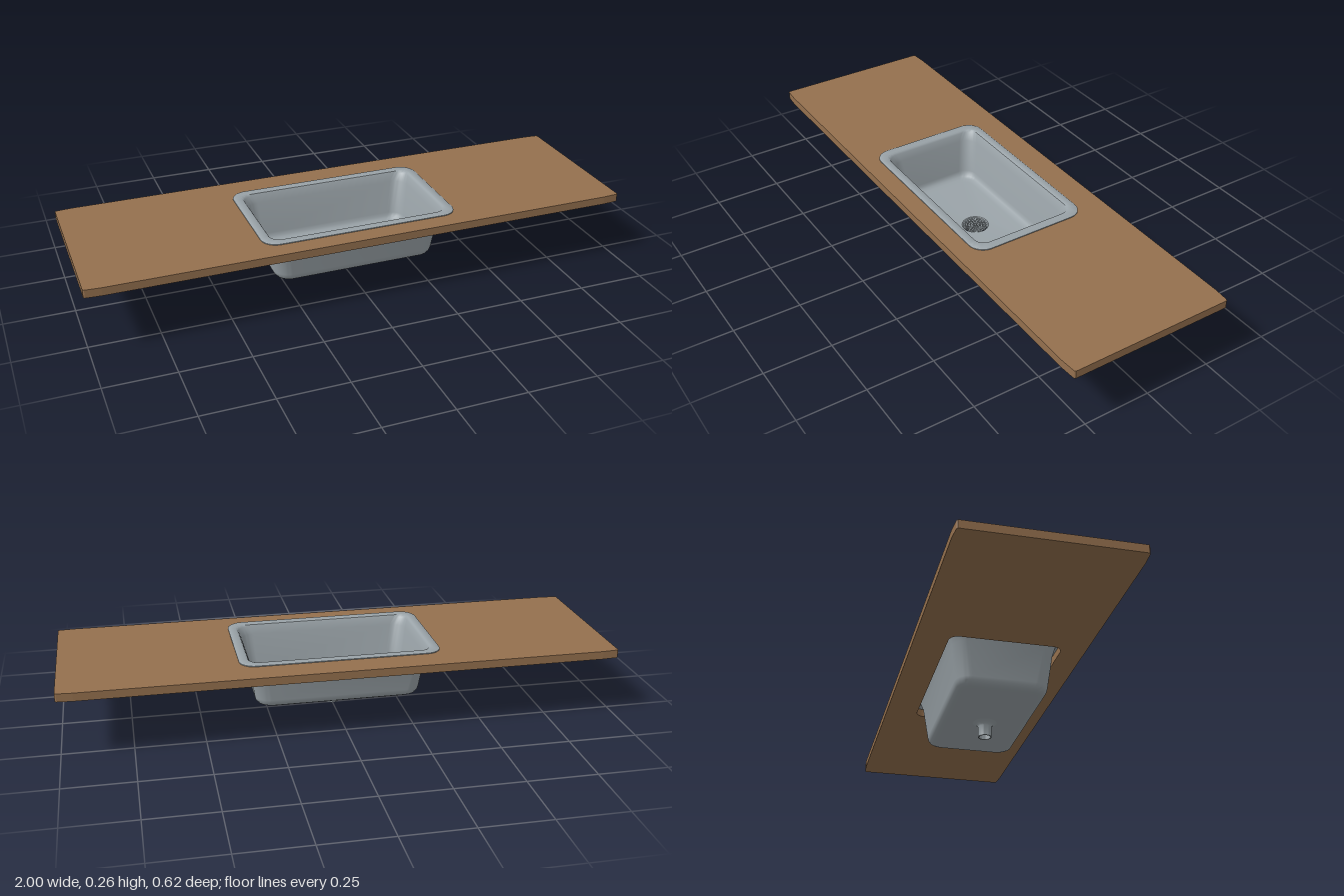
import * as THREE from 'three';
import { toCreasedNormals } from 'three/addons/utils/BufferGeometryUtils.js';

const CENTRE_Z = 0.016; // the basin sits slightly towards the front

// Points of a rounded rectangle, given half sizes and corner radius
function roundedRect(hx, hz, r, steps = 10) {
  const points = [];
  for (let c = 0; c < 4; c++) {
    const sx = c === 0 || c === 3 ? 1 : -1;
    const sz = c < 2 ? 1 : -1;
    for (let i = 0; i <= steps; i++) {
      const a = (c + i / steps) * Math.PI / 2;
      points.push(new THREE.Vector2(sx * (hx - r) + r * Math.cos(a), sz * (hz - r) + r * Math.sin(a)));
    }
  }
  return points;
}

// Skin over rounded rectangles [halfX, halfZ, radius, y]
function loft(sections) {
  const positions = [], index = [];
  let n = 0;
  for (const [hx, hz, r, y] of sections) {
    const ring = roundedRect(hx, hz, r);
    n = ring.length;
    for (const p of ring) positions.push(p.x, y, p.y);
  }
  for (let i = 0; i < sections.length - 1; i++) {
    for (let j = 0; j < n; j++) {
      const k = (j + 1) % n;
      const a = i * n + j, b = i * n + k, c = a + n, d = b + n;
      index.push(a, c, b, b, c, d);
    }
  }
  const geometry = new THREE.BufferGeometry();
  geometry.setAttribute('position', new THREE.Float32BufferAttribute(positions, 3));
  geometry.setIndex(index);
  return toCreasedNormals(geometry, 0.7);
}

export function createModel() {
  const wood = new THREE.MeshStandardMaterial({ color: 0x94704e });
  wood.name = 'brown countertop';
  const steel = new THREE.MeshStandardMaterial({ color: 0x9aa3a8 });
  steel.name = 'grey steel';

  const model = new THREE.Group();
  model.name = 'countertopSink';
  const add = (name, geometry, material, parent = model) => {
    const mesh = new THREE.Mesh(geometry, material);
    mesh.name = name;
    parent.add(mesh);
    return mesh;
  };

  // Countertop slab with barely tapered ends and the basin cut-out
  const slab = new THREE.Shape([
    [-0.94, -0.308], [0.94, -0.308], [0.995, -0.304], [1, -0.3],
    [1, 0.3], [0.995, 0.304], [0.94, 0.308], [-0.94, 0.308],
    [-0.995, 0.304], [-1, 0.3], [-1, -0.3], [-0.995, -0.304],
  ].map(([x, y]) => new THREE.Vector2(x, y)));
  const cutOut = roundedRect(0.347, 0.204, 0.035).map(p => new THREE.Vector2(p.x, p.y - CENTRE_Z));
  slab.holes.push(new THREE.Path(cutOut));
  const top = new THREE.ExtrudeGeometry(slab, { depth: 0.03, bevelEnabled: false });
  top.rotateX(-Math.PI / 2).translate(0, 0.22, 0);
  add('countertop', top, wood);

  const sink = new THREE.Group();
  sink.name = 'sink';
  sink.position.z = CENTRE_Z;
  model.add(sink);

  // Basin shell: outside from the drain up, over the rim, inside back down
  add('basin', loft([
    [0.045, 0.045, 0.045, 0.057],
    [0.265, 0.135, 0.04, 0.062],
    [0.283, 0.150, 0.045, 0.064],
    [0.296, 0.160, 0.05, 0.070],
    [0.304, 0.166, 0.054, 0.080],
    [0.307, 0.169, 0.055, 0.093],
    [0.325, 0.186, 0.055, 0.22],
    [0.335, 0.194, 0.05, 0.25],
    [0.364, 0.221, 0.055, 0.25],
    [0.367, 0.224, 0.057, 0.2515],
    [0.367, 0.224, 0.057, 0.2545],
    [0.364, 0.221, 0.055, 0.2565],
    [0.338, 0.197, 0.042, 0.2565],
    [0.333, 0.192, 0.04, 0.2545],
    [0.329, 0.189, 0.042, 0.248],
    [0.319, 0.180, 0.05, 0.22],
    [0.301, 0.163, 0.05, 0.095],
    [0.298, 0.160, 0.049, 0.083],
    [0.291, 0.154, 0.045, 0.075],
    [0.280, 0.146, 0.04, 0.070],
    [0.263, 0.132, 0.035, 0.068],
    [0.050, 0.050, 0.050, 0.063],
    [0.045, 0.045, 0.045, 0.058],
  ]), steel, sink);

  // Drain funnel and open pipe
  const pipe = [
    [0.044, 0.059], [0.032, 0.053], [0.021, 0.04], [0.021, 0], [0.025, 0],
    [0.025, 0.04], [0.028, 0.046], [0.034, 0.052], [0.046, 0.058],
  ].map(([x, y]) => new THREE.Vector2(x, y));
  add('drainPipe', toCreasedNormals(new THREE.LatheGeometry(pipe, 40), 0.7), steel, sink);

  // Strainer plate with rings of round holes
  const plate = new THREE.Shape().absarc(0, 0, 0.046, 0, Math.PI * 2, false);
  const punch = (x, y) => plate.holes.push(new THREE.Path().absarc(x, y, 0.0032, 0, Math.PI * 2, true));
  punch(0, 0);
  for (let ring = 1; ring <= 4; ring++) {
    for (let i = 0; i < ring * 6; i++) {
      const a = i / (ring * 6) * Math.PI * 2;
      punch(Math.cos(a) * ring * 0.0096, Math.sin(a) * ring * 0.0096);
    }
  }
  const strainer = new THREE.ExtrudeGeometry(plate, { depth: 0.002, bevelEnabled: false, curveSegments: 8 });
  strainer.rotateX(-Math.PI / 2).translate(0, 0.0595, 0);
  add('strainer', strainer, steel, sink);

  return model;
}
